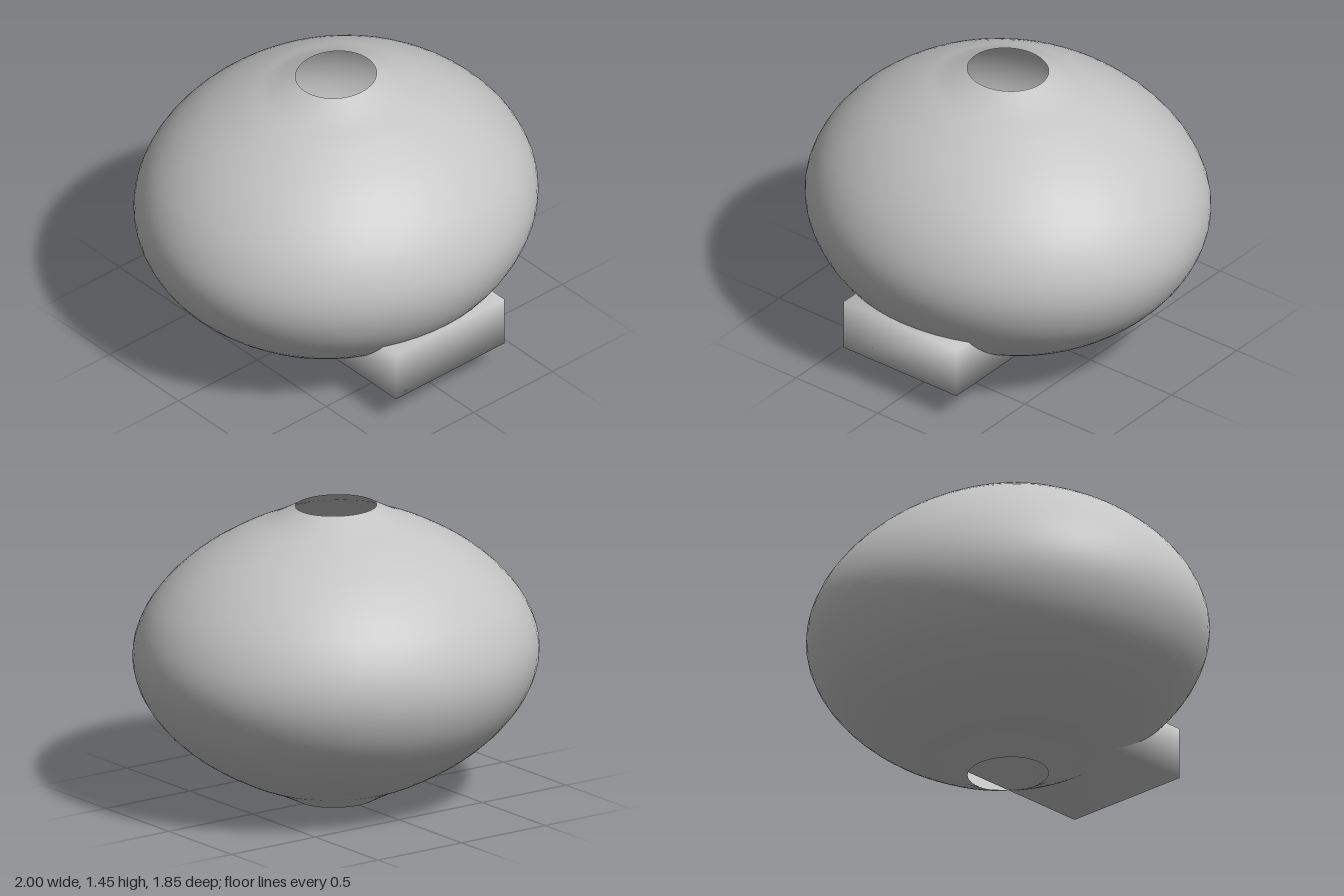
import * as THREE from 'three';
import { mergeVertices } from 'three/addons/utils/BufferGeometryUtils.js';

export function createModel() {
  const group = new THREE.Group();
  const grey = new THREE.MeshStandardMaterial({ color: 0xc4c4c4, side: THREE.DoubleSide });
  grey.name = 'grey';

  // Lower half of the profile as radius and height; the upper half mirrors it
  const midY = 0.725;
  const lower = [
    [0.2, 0], [0.32, 0.06], [0.4, 0.091], [0.48, 0.126], [0.6, 0.19], [0.7, 0.255],
    [0.8, 0.338], [0.88, 0.425], [0.94, 0.513], [0.985, 0.62], [1, midY],
  ];
  const upper = lower.slice(0, -1).reverse().map(([r, y]) => [r, 2 * midY - y]);
  const profile = new THREE.SplineCurve([...lower, ...upper].map(([r, y]) => new THREE.Vector2(r, y)));

  // Hollow shell, open at both ends and slightly narrower front to back
  const shellGeometry = new THREE.LatheGeometry(profile.getPoints(40), 64);
  shellGeometry.scale(1, 1, 0.927);
  const shell = new THREE.Mesh(shellGeometry, grey);
  shell.name = 'shell';
  group.add(shell);

  // Block running into the shell, with shared corners for soft shading
  let blockGeometry = new THREE.BoxGeometry(0.69, 0.26, 0.97);
  blockGeometry.deleteAttribute('normal');
  blockGeometry.deleteAttribute('uv');
  blockGeometry = mergeVertices(blockGeometry);
  blockGeometry.computeVertexNormals();
  const block = new THREE.Mesh(blockGeometry, grey);
  block.name = 'frontBlock';
  block.position.set(0, 0.28, 0.345);
  group.add(block);

  return group;
}
